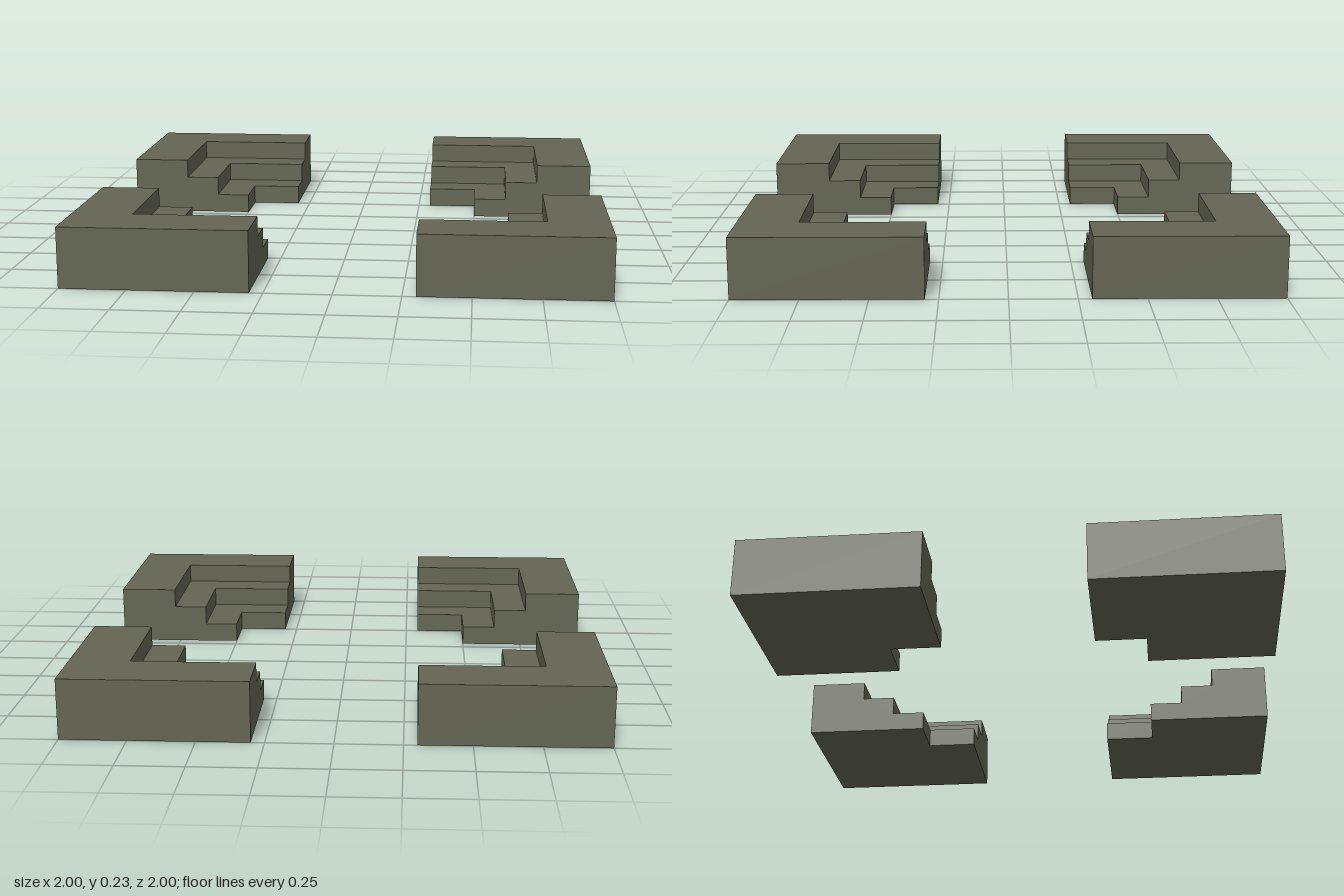
import * as THREE from 'three';

const HEIGHT = 0.23, INNER = 0.3;
const EDGES = [1, 0.77, 0.635, 0.5]; // outer wall, then the inner edge of each step

// Stair cross-section: x is the distance from the middle, y the height
function stairProfile() {
  const pts = [new THREE.Vector2(EDGES[0], 0)];
  for (let i = 0; i < 3; i++) {
    const y = HEIGHT * (3 - i) / 3;
    pts.push(new THREE.Vector2(EDGES[i], y), new THREE.Vector2(EDGES[i + 1], y));
  }
  pts.push(new THREE.Vector2(EDGES[3], 0));
  return pts;
}

// Sweep the profile round a mitred right angle and cap both ends
function cornerGeometry() {
  const profile = stairProfile();
  const stations = [
    p => [INNER, p.y, p.x],
    p => [p.x, p.y, p.x],
    p => [p.x, p.y, INNER],
  ];
  const positions = [];
  const tri = (a, b, c) => positions.push(...a, ...b, ...c);

  for (let s = 0; s < 2; s++) {
    profile.forEach((p, i) => {
      const q = profile[(i + 1) % profile.length];
      const a = stations[s](p), b = stations[s + 1](p);
      const c = stations[s + 1](q), d = stations[s](q);
      tri(a, b, c);
      tri(a, c, d);
    });
  }
  for (const [i, j, k] of THREE.ShapeUtils.triangulateShape(profile, [])) {
    const [a, b, c] = [profile[i], profile[j], profile[k]];
    tri(...[a, b, c].map(stations[0]));
    tri(...[c, b, a].map(stations[2]));
  }

  const geometry = new THREE.BufferGeometry();
  geometry.setAttribute('position', new THREE.Float32BufferAttribute(positions, 3));
  geometry.computeVertexNormals();
  return geometry;
}

export function createModel() {
  const group = new THREE.Group();
  group.name = 'steppedCorners';
  const stone = new THREE.MeshStandardMaterial({ color: 0x636553 });
  stone.name = 'olive grey stone';
  const geometry = cornerGeometry();

  // Four identical corners, a quarter turn apart
  ['frontLeftCorner', 'backLeftCorner', 'backRightCorner', 'frontRightCorner'].forEach((name, i) => {
    const corner = new THREE.Mesh(geometry, stone);
    corner.name = name;
    corner.rotation.y = i * Math.PI / 2;
    group.add(corner);
  });
  return group;
}
